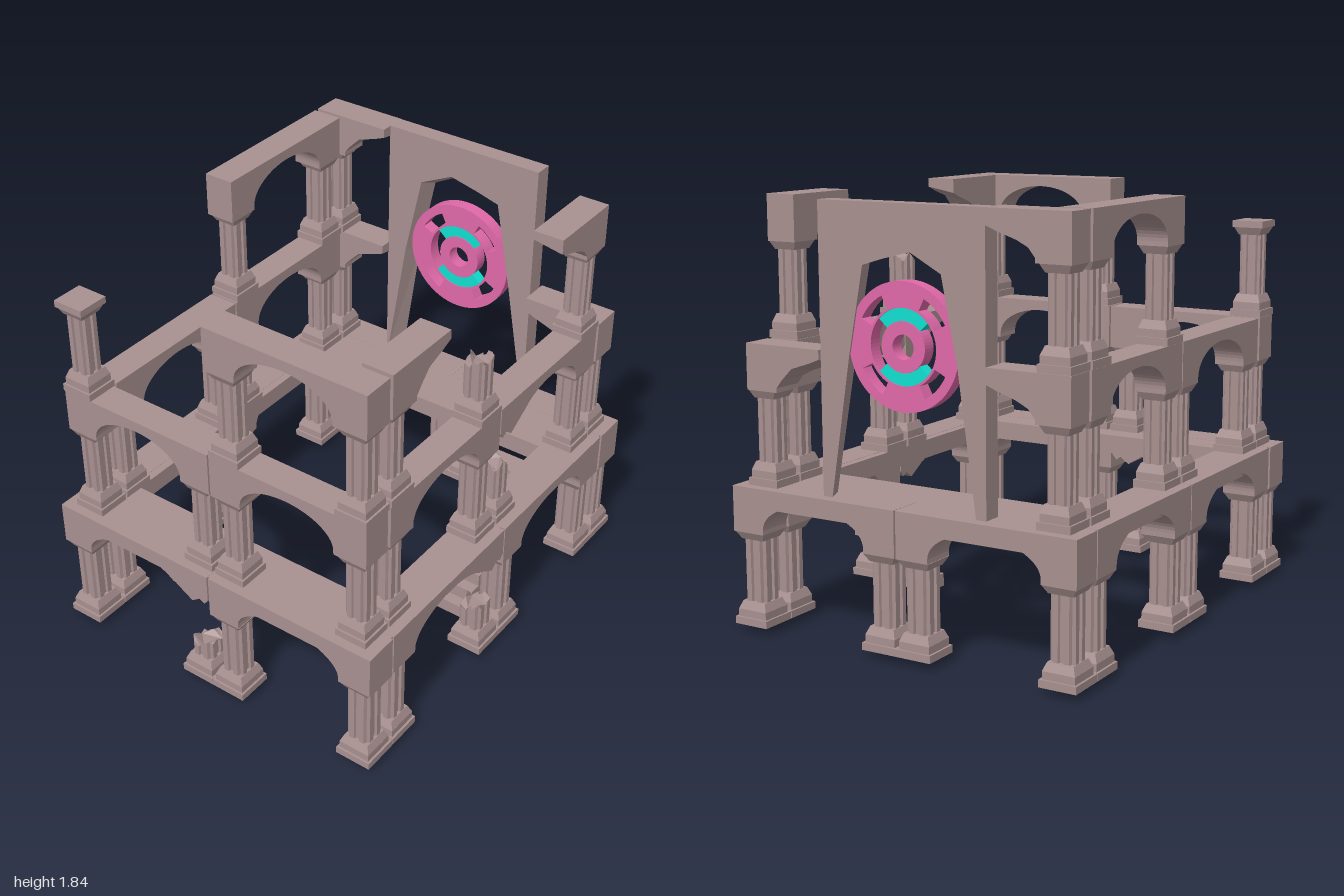
import * as THREE from 'three';

const mat = (color) => new THREE.MeshStandardMaterial({ color, flatShading: true, side: THREE.DoubleSide });
const stone = mat(0xa89090), pink = mat(0xe069a8), cyan = mat(0x10e0d0);

function add(parent, name, geometry, material = stone, x = 0, y = 0, z = 0) {
  const mesh = new THREE.Mesh(geometry, material);
  mesh.name = name;
  mesh.position.set(x, y, z);
  parent.add(mesh);
  return mesh;
}

const box = (w, h, d) => new THREE.BoxGeometry(w, h, d);

// Square block whose top and bottom widths differ
function taper(top, bottom, h) {
  return new THREE.CylinderGeometry(top * Math.SQRT1_2, bottom * Math.SQRT1_2, h, 4).rotateY(Math.PI / 4);
}

function extrude(shape, depth, curveSegments = 10) {
  return new THREE.ExtrudeGeometry(shape, { depth, bevelEnabled: false, curveSegments }).translate(0, 0, -depth / 2);
}

const outline = (pts) => new THREE.Shape(pts.map(([x, y]) => new THREE.Vector2(x, y)));

// Square shaft with notched corners and a groove down each side
function shaftGeometry(s, h, broken) {
  const quarter = [[0.055, -0.036], [0.055, -0.013], [0.044, -0.009], [0.044, 0.009], [0.055, 0.013], [0.055, 0.036], [0.042, 0.042]];
  const pts = [];
  for (let i = 0; i < 4; i++) {
    const c = Math.cos(i * Math.PI / 2), n = Math.sin(i * Math.PI / 2);
    quarter.forEach(([x, y]) => pts.push([s * (x * c - y * n), s * (x * n + y * c)]));
  }
  const g = extrude(outline(pts), h).rotateX(-Math.PI / 2).translate(0, h / 2, 0);
  if (broken) {
    // ragged top
    const p = g.attributes.position;
    for (let i = 0; i < p.count; i++) {
      if (p.getY(i) > h / 2) p.setY(i, h + 0.022 * Math.sin(p.getX(i) * 75 + p.getZ(i) * 48));
    }
    g.computeVertexNormals();
  }
  return g;
}

// Pillar standing at y = 0; a stub height leaves a broken shaft without capital
function pillar(s, stub = 0) {
  const g = new THREE.Group();
  g.name = stub ? 'brokenPillar' : 'pillar';
  add(g, 'plinth', box(0.165 * s, 0.032, 0.165 * s), stone, 0, 0.016);
  add(g, 'plinthStep', box(0.145 * s, 0.033, 0.145 * s), stone, 0, 0.048);
  add(g, 'baseSlope', taper(0.115 * s, 0.145 * s, 0.036), stone, 0, 0.082);
  add(g, 'shaft', shaftGeometry(s, stub || 0.275, stub > 0), stone, 0, 0.098);
  if (!stub) add(g, 'capital', taper(0.15 * s, 0.112 * s, 0.034), stone, 0, 0.388);
  return g;
}

// Arch block from u = 0 to L, between heights 0.405 and 0.60
function arch(L, depth, kind) {
  const s = new THREE.Shape(), b = 0.405, t = 0.602, leg = 0.155, r = (L - 2 * leg) / 2;
  if (kind === 'fragment') {
    const e = L - 0.375;
    [[L, b], [L, t], [e, t], [e, t - 0.065], [e + 0.05, t - 0.085], [e + 0.14, t - 0.115],
      [e + 0.19, t - 0.14], [L - leg, b + 0.02], [L - leg, b]]
      .forEach(([x, y], i) => (i ? s.lineTo(x, y) : s.moveTo(x, y)));
  } else {
    s.moveTo(L, b);
    s.lineTo(L, t);
    s.lineTo(0.004, t);
    if (kind === 'chipped') {
      [[0.004, b + 0.07], [0.025, b + 0.045], [0.05, b + 0.06], [0.09, b + 0.03], [0.14, b + 0.06], [leg + 0.025, b + 0.085]]
        .forEach(([x, y]) => s.lineTo(x, y));
      s.absellipse(L / 2, b + 0.02, r, 0.13, Math.PI * 0.83, 0, true);
    } else {
      s.lineTo(0.004, b);
      s.lineTo(leg, b);
      s.absellipse(L / 2, b + 0.02, r, 0.13, Math.PI, 0, true);
    }
    s.lineTo(L - leg, b);
  }
  const g = extrude(s, depth, 14);
  if (kind === 'fragment') {
    // slanting fracture at the free end
    const p = g.attributes.position;
    for (let i = 0; i < p.count; i++) {
      if (p.getX(i) < L - 0.2 && p.getY(i) < t - 0.01 && p.getZ(i) < 0) p.setY(i, p.getY(i) + 0.025);
    }
    g.computeVertexNormals();
  }
  return g;
}

// One bay: near pillar beside the middle of the wall, far pillar at the corner
function bay(level, L, kind, stub) {
  const g = new THREE.Group(), s = level ? 0.9 : 1;
  g.name = 'archBay';
  if (kind !== 'pillarOnly') add(g, 'arch', arch(L, 0.155 * s, kind), stone);
  const far = pillar(s);
  far.position.x = L - 0.08 * s;
  g.add(far);
  if (kind === 'pillarOnly') add(g, 'pillarCap', box(0.145, 0.03, 0.145), stone, far.position.x, 0.42);
  if (kind === 'whole' || stub) {
    const near = pillar(s, stub);
    near.position.x = 0.083;
    g.add(near);
  }
  return g;
}

export function createModel() {
  const model = new THREE.Group();
  model.name = 'ruin';

  // Bays: [level, wall, half of wall, kind, stub height]
  const W = 'whole', C = 'chipped', F = 'fragment';
  const bays = [
    [0, 'front', 1, W], [0, 'front', -1, C, 0.075], [0, 'back', 1, W], [0, 'back', -1, W],
    [0, 'right', 1, C, 0.12], [0, 'right', -1, W], [0, 'left', 1, W], [0, 'left', -1, W],
    [1, 'front', 1, W], [1, 'front', -1, W], [1, 'back', 1, F], [1, 'back', -1, F],
    [1, 'right', 1, W], [1, 'right', -1, C, 0.17], [1, 'left', 1, W], [1, 'left', -1, W],
    [2, 'front', 1, W], [2, 'front', -1, 'pillarOnly'], [2, 'back', -1, F],
    [2, 'right', 1, F, 0.17], [2, 'right', -1, F], [2, 'left', -1, W],
  ];
  const baseY = [0.03, 0.632, 1.236];
  for (const [level, wall, half, kind, stub] of bays) {
    const alongX = wall === 'front' || wall === 'back';
    const L = alongX ? (level ? 0.77 : 0.825) : (level ? 0.785 : 0.825);
    const b = bay(level, L, kind, stub);
    const side = wall === 'front' || wall === 'right' ? 1 : -1;
    b.position.y = baseY[level];
    if (alongX) {
      b.position.z = side * (level ? 0.875 : 0.915);
      b.rotation.y = half > 0 ? 0 : Math.PI;
    } else {
      b.position.x = side * (level ? 0.7 : 0.745);
      b.rotation.y = -half * Math.PI / 2;
    }
    model.add(b);
  }

  // Floor slabs around the open court
  add(model, 'frontFloor', box(1.63, 0.086, 0.28), stone, 0, 0.588, 0.84);
  add(model, 'backFloor', box(1.63, 0.086, 0.38), stone, 0, 0.588, -0.79);
  for (const s of [-1, 1]) add(model, 'sideFloor', box(0.17, 0.086, 1.3), stone, s * 0.715, 0.588, 0.05);

  // Stairs up to the back floor
  for (let i = 0; i < 9; i++) {
    add(model, 'stairStep', box(0.215, 0.0606, 0.11), stone, 0.525, 0.0303 + i * 0.0606, -0.075 - i * 0.055);
  }

  // Back wall with a tall opening narrowing in depth
  const wallShape = outline([[-0.398, 0.632], [-0.398, 1.838], [0.385, 1.838], [0.385, 0.632], [0.378, 0.632],
    [0.27, 1.22], [0.19, 1.62], [0.08, 1.65], [-0.06, 1.682], [-0.22, 1.605], [-0.3, 1.22], [-0.39, 0.632]]);
  const wallGeo = extrude(wallShape, 0.085);
  const p = wallGeo.attributes.position;
  for (let i = 0; i < p.count; i++) {
    const x = p.getX(i), y = p.getY(i);
    if (p.getZ(i) < 0 && x > -0.395 && x < 0.382 && y < 1.8) {
      p.setX(i, x * 0.9);
      if (y > 1.5) p.setY(i, y - 0.03);
    }
  }
  wallGeo.computeVertexNormals();
  add(model, 'windowWall', wallGeo, stone, 0, 0, -0.9);

  // Round window: pierced rim, hub and two coloured arcs
  const wheel = new THREE.Group();
  wheel.name = 'roundWindow';
  wheel.position.set(-0.01, 1.277, -0.9);
  model.add(wheel);
  const sector = (target, r0, r1, a0, a1) => {
    target.absarc(0, 0, r1, a0, a1, false);
    target.absarc(0, 0, r0, a1, a0, true);
    target.closePath();
    return target;
  };
  const ring = (r0, r1) => {
    const s = new THREE.Shape().absarc(0, 0, r1, 0, Math.PI * 2, false);
    s.holes.push(new THREE.Path().absarc(0, 0, r0, 0, Math.PI * 2, true));
    return s;
  };
  const deg = Math.PI / 180, rim = ring(0.155, 0.26);
  for (const a of [45, 135, 225, 315]) rim.holes.push(sector(new THREE.Path(), 0.165, 0.22, (a - 18) * deg, (a + 18) * deg));
  add(wheel, 'rim', extrude(rim, 0.06, 32), pink);
  add(wheel, 'hub', extrude(ring(0.05, 0.103), 0.06, 24), pink);
  for (const a of [90, 270]) {
    add(wheel, 'colouredArc', extrude(sector(new THREE.Shape(), 0.1, 0.157, (a - 48) * deg, (a + 48) * deg), 0.05, 16), cyan);
  }
  return model;
}
